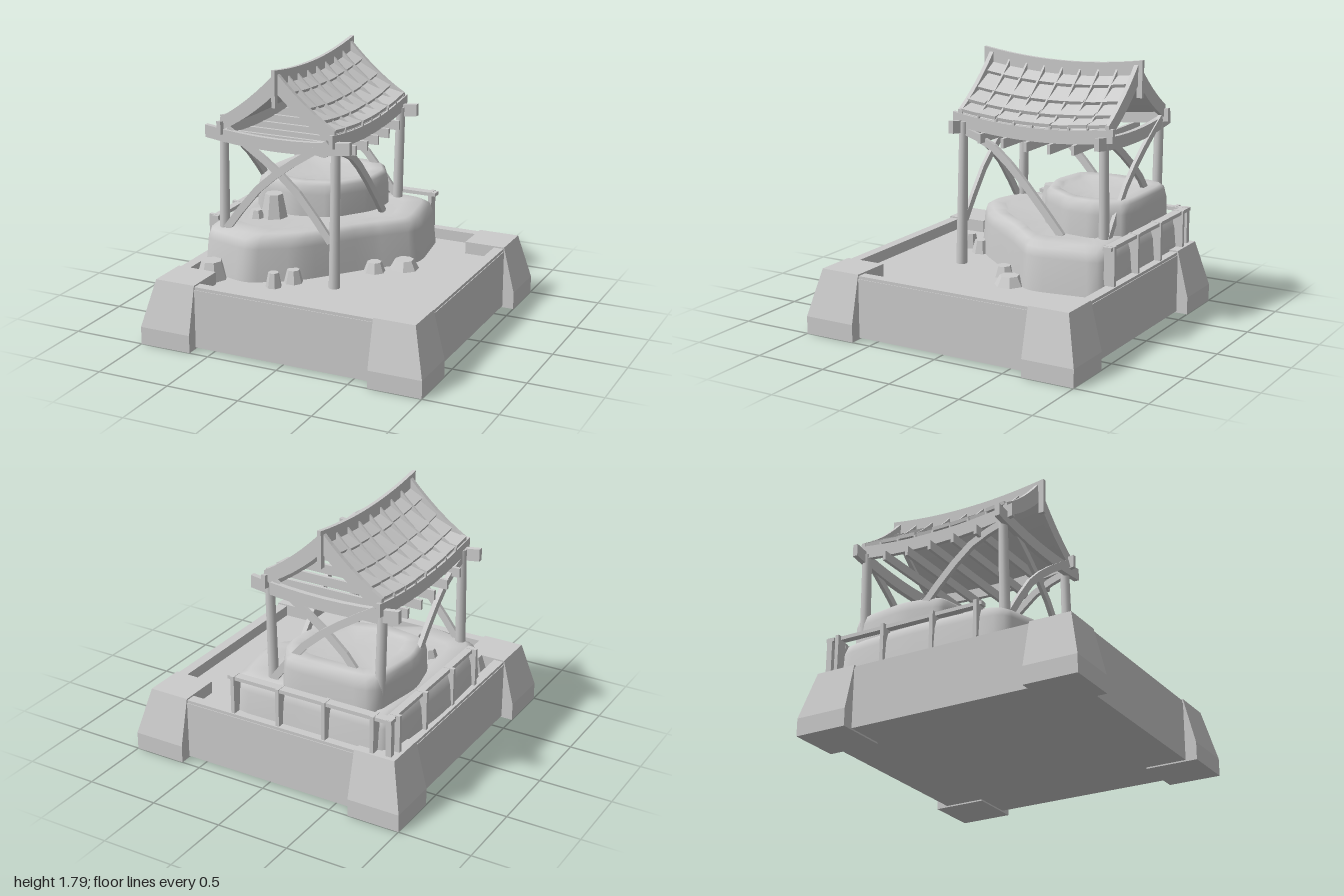
import * as THREE from 'three';

const CX = -0.31; // ridge line
const FLOOR = 0.355;
const mat = new THREE.MeshStandardMaterial({ color: 0xcccccc });
const flat = new THREE.MeshStandardMaterial({ color: 0xcccccc, flatShading: true });

// timbers and roof dip towards the middle of their length
const sag = (z) => 0.05 * ((z + 0.19) / 0.6) ** 2;
// concave roof slope, d = distance from ridge
const roofY = (d) => { const v = 1 - d / 0.42; return 1.36 + 0.3 * (0.65 * v + 0.35 * v * Math.abs(v)); };

function add(group, name, geo, x = 0, y = 0, z = 0, material = mat) {
  const m = new THREE.Mesh(geo, material);
  m.name = name;
  m.position.set(x, y, z);
  group.add(m);
  return m;
}

// move every vertex vertically by a rule
function bend(geo, rule) {
  const p = geo.attributes.position;
  for (let i = 0; i < p.count; i++) p.setY(i, p.getY(i) + rule(p.getX(i), p.getZ(i)));
  geo.computeVertexNormals();
  return geo;
}

// corner block: straight foot, then outer sides leaning inwards
function cornerBlock(sx, sz) {
  const prism = (y0, y1, o0, o1) => {
    const g = new THREE.BoxGeometry(1, 1, 1);
    const p = g.attributes.position;
    for (let i = 0; i < p.count; i++) {
      const up = p.getY(i) > 0, out = up ? o1 : o0;
      const fx = p.getX(i) * sx > 0 ? out : 0.635, fz = p.getZ(i) * sz > 0 ? out : 0.635;
      p.setXYZ(i, sx * fx, up ? y1 : y0, sz * fz);
    }
    g.computeVertexNormals();
    return g;
  };
  return [prism(0, 0.12, 1, 1), prism(0.12, 0.44, 1, 0.92)];
}

// rounded rock: softened outline lifted through rings [scale, y], then capped
function rockGeometry(outline, rings) {
  const pts = outline.map((p) => new THREE.Vector2(...p)), n = pts.length, loop = [];
  pts.forEach((p, i) => {
    const a = p.clone().lerp(pts[(i + n - 1) % n], 0.22), b = p.clone().lerp(pts[(i + 1) % n], 0.22);
    loop.push(...new THREE.QuadraticBezierCurve(a, p, b).getPoints(3));
  });
  const c = new THREE.Vector2();
  loop.forEach((p) => c.addScaledVector(p, 1 / loop.length));
  const pos = [], idx = [], m = loop.length;
  for (const [s, y] of rings) for (const p of loop) pos.push(c.x + (p.x - c.x) * s, y, c.y + (p.y - c.y) * s);
  const top = (rings.length - 1) * m;
  pos.push(c.x, rings[rings.length - 1][1], c.y);
  for (let i = 0; i < m; i++) {
    const j = (i + 1) % m;
    for (let r = 0; r < top; r += m) idx.push(r + i, r + j, r + m + j, r + i, r + m + j, r + m + i);
    idx.push(top + i, top + j, top + m);
  }
  const g = new THREE.BufferGeometry();
  g.setAttribute('position', new THREE.Float32BufferAttribute(pos, 3));
  g.setIndex(idx);
  g.computeVertexNormals();
  return g;
}

// curved flat timber through a few 2D points
function braceGeometry(points, width, depth) {
  const curve = new THREE.SplineCurve(points.map((p) => new THREE.Vector2(...p)));
  const a = [], b = [];
  for (let i = 0; i <= 6; i++) {
    const p = curve.getPoint(i / 6), t = curve.getTangent(i / 6);
    const n = new THREE.Vector2(-t.y, t.x).multiplyScalar(width / 2);
    a.push(p.clone().add(n));
    b.unshift(p.clone().sub(n));
  }
  return new THREE.ExtrudeGeometry(new THREE.Shape([...a, ...b]), { depth, bevelEnabled: false }).translate(0, 0, -depth / 2);
}

// timber or board following both roof slopes, a little deeper at the ridge
function slopeTimber(depth, top, bottom, reach, steps = 1) {
  const a = [], b = [];
  for (let i = -6; i <= 6; i++) {
    const u = Math.abs(i / 6), y = roofY(u * reach);
    a.push(new THREE.Vector2((i / 6) * reach, y + bottom));
    b.unshift(new THREE.Vector2((i / 6) * reach, y + top * (1.5 - u)));
  }
  return new THREE.ExtrudeGeometry(new THREE.Shape([...a, ...b]), { depth, steps, bevelEnabled: false }).translate(0, 0, -depth / 2);
}

function buildBase() {
  const g = new THREE.Group();
  g.name = 'base';
  add(g, 'slab', new THREE.BoxGeometry(1.84, FLOOR - 0.01, 1.84), 0, (FLOOR + 0.01) / 2, 0);
  // raised rim around the sunken floor
  for (let i = 0; i < 4; i++) {
    const side = new THREE.Group();
    side.name = 'rimSide';
    side.rotation.y = (i * Math.PI) / 2;
    add(side, 'rimWall', new THREE.BoxGeometry(1.84, 0.41 - FLOOR, 0.075), 0, (0.41 + FLOOR) / 2, 0.8825);
    add(side, 'rimCap', new THREE.BoxGeometry(1.83, 0.02, 0.07), 0, 0.42, 0.88);
    g.add(side);
  }
  for (const sx of [-1, 1]) for (const sz of [-1, 1])
    cornerBlock(sx, sz).forEach((geo, i) => add(g, i ? 'cornerBlockTop' : 'cornerBlockFoot', geo));
  return g;
}

function buildRocks() {
  const g = new THREE.Group();
  g.name = 'rocks';
  const lower = [[-0.89, -0.25], [-0.87, 0.42], [-0.47, 0.53], [-0.17, 0.34], [0.17, -0.08], [0.42, -0.33], [0.34, -0.86], [-0.3, -0.86], [-0.84, -0.86]];
  const upper = [[-0.79, -0.4], [-0.73, -0.11], [-0.42, -0.06], [-0.15, -0.14], [0.04, -0.4], [0.06, -0.62], [-0.06, -0.83], [-0.72, -0.83]];
  add(g, 'lowerRock', rockGeometry(lower, [[1.01, FLOOR - 0.01], [0.98, 0.58], [0.95, 0.64], [0.88, 0.67], [0.72, 0.675], [0.68, 0.655]]));
  add(g, 'upperRock', rockGeometry(upper, [[1, 0.64], [0.99, 0.81], [0.96, 0.87], [0.89, 0.895], [0.7, 0.893], [0.65, 0.87]]));
  // loose stones: x, y, z, radius, height
  const stones = [
    [-0.53, 0.65, 0, 0.095, 0.17], [-0.63, 0.65, 0.07, 0.06, 0.06], [-0.72, FLOOR, 0.54, 0.105, 0.125], [-0.27, FLOOR, 0.51, 0.055, 0.1],
    [-0.19, FLOOR, 0.38, 0.065, 0.09], [0.21, FLOOR, -0.04, 0.075, 0.07], [0.37, FLOOR, -0.18, 0.1, 0.065],
  ];
  stones.forEach(([x, y, z, r, h], i) => {
    add(g, 'looseStone', new THREE.CylinderGeometry(r * 0.65, r, h, 7), x, y + h / 2, z, flat).rotation.y = i * 0.8;
  });
  return g;
}

function buildFrame() {
  const g = new THREE.Group();
  g.name = 'timberFrame';
  for (const s of [-1, 1]) {
    const x = CX + s * 0.41;
    const front = new THREE.CylinderGeometry(0.03, 0.038, 1.0, 10);
    add(g, 'frontPost', front, x, 0.845, 0.345).rotation.x = -0.025;
    const back = new THREE.CylinderGeometry(0.032, 0.036, 0.92, 10);
    add(g, 'backPost', back, CX + s * 0.395, 0.87, -0.72).rotation.z = -s * 0.025;
    // eave beam and side brace
    add(g, 'eaveBeam', bend(new THREE.BoxGeometry(0.03, 0.09, 1.2, 1, 1, 12).translate(0, 0, -0.19), (_, z) => sag(z)), x, 1.31, 0);
    const side = braceGeometry([[-0.32, 1.28], [-0.1, 1.19], [0.15, 0.96], [0.42, 0.65]], 0.05, 0.03);
    add(g, 'sideBrace', side.rotateY(Math.PI / 2), x, 0, 0);
  }
  for (const z of [0.36, -0.73]) {
    const beam = new THREE.BoxGeometry(1.06, 0.085, 0.035, 8, 1, 1);
    add(g, 'crossBeam', bend(beam, (x) => 0.04 * (x / 0.53) ** 2), CX, 1.28, z);
    // crossed braces between the posts
    for (const s of [-1, 1]) {
      const pts = [[-0.38, 0.66], [-0.14, 0.965], [0.12, 1.175], [0.38, 1.34]];
      const list = pts.map(([x, y]) => [x * s, y]);
      add(g, 'crossBrace', braceGeometry(s > 0 ? list : list.reverse(), 0.05, 0.025), CX, 0, z + s * 0.014);
    }
  }
  // ceiling joists poking out under the eaves
  for (let i = 0; i < 5; i++) {
    const z = 0.17 - i * 0.175;
    add(g, 'ceilingJoist', new THREE.BoxGeometry(0.96, 0.065, 0.022), CX, 1.235 + sag(z), z);
  }
  return g;
}

function buildRoof() {
  const g = new THREE.Group();
  g.name = 'roof';
  const cols = 8, z0 = -0.74, step = 1.09 / cols;
  const edges = [0, 0.095, 0.215, 0.325, 0.42]; // tile rows, ridge to eave
  for (let c = 0; c < cols; c++) for (let r = 0; r < 4; r++) for (const s of [-1, 1]) {
    const wob = Math.sin(c * 2.3 + r * 1.7 + s) * 0.008;
    const d0 = Math.max(0, edges[r] - 0.015), d1 = edges[r + 1] + wob;
    const ya = roofY(d0) - 0.018, yb = roofY(d1) + 0.018 + wob;
    const z = z0 + (c + 0.5) * step;
    const tile = new THREE.BoxGeometry(Math.hypot(d1 - d0, yb - ya), 0.024, step, 1, 1, 2);
    tile.rotateZ(s * Math.atan2(yb - ya, d1 - d0));
    tile.translate(CX + s * (d0 + d1) / 2, (ya + yb) / 2, z);
    add(g, 'roofTile', bend(tile, (_, zz) => sag(zz)));
  }
  // boarding under the tiles
  const boarding = slopeTimber(1.07, -0.012, -0.035, 0.41, 10).translate(0, 0, -0.195);
  add(g, 'roofBoarding', bend(boarding, (_, z) => sag(z)), CX, 0, 0);
  // ribs over the tile joints
  for (let c = 1; c < cols; c++) {
    const z = z0 + c * step;
    add(g, 'roofRib', slopeTimber(0.014, 0.03, -0.02, 0.425), CX, sag(z), z);
  }
  for (const z of [0.355, -0.745]) add(g, 'gableBoard', slopeTimber(0.03, 0.045, -0.07, 0.42), CX, sag(z), z);
  // ridge board with drop ends
  const ridge = new THREE.BoxGeometry(0.026, 0.11, 1.2, 1, 1, 12).translate(0, 0, -0.19);
  add(g, 'ridgeBoard', bend(ridge, (_, z) => sag(z)), CX, 1.685, 0);
  for (const z of [0.39, -0.77]) add(g, 'ridgeDrop', new THREE.BoxGeometry(0.026, 0.24, 0.04), CX, 1.66, z);
  return g;
}

function buildFence() {
  const g = new THREE.Group();
  g.name = 'fence';
  add(g, 'backRail', new THREE.BoxGeometry(1.2, 0.025, 0.06), -0.28, 0.68, -0.865);
  add(g, 'leftRail', new THREE.BoxGeometry(0.05, 0.025, 1.16), -0.845, 0.68, -0.31);
  const postHeight = 0.695 - FLOOR, y = FLOOR + postHeight / 2;
  for (const x of [-0.75, -0.4, -0.06, 0.28]) add(g, 'backFencePost', new THREE.BoxGeometry(0.026, postHeight, 0.075), x, y, -0.868);
  for (const z of [-0.8, -0.45, -0.08, 0.24]) add(g, 'sideFencePost', new THREE.BoxGeometry(0.075, postHeight, 0.026), -0.86, y, z);
  add(g, 'cornerFencePost', new THREE.BoxGeometry(0.04, postHeight, 0.04), -0.86, y, -0.87);
  return g;
}

export function createModel() {
  const model = new THREE.Group();
  model.name = 'rockGardenPavilion';
  model.add(buildBase(), buildRocks(), buildFrame(), buildRoof(), buildFence());
  return model;
}
